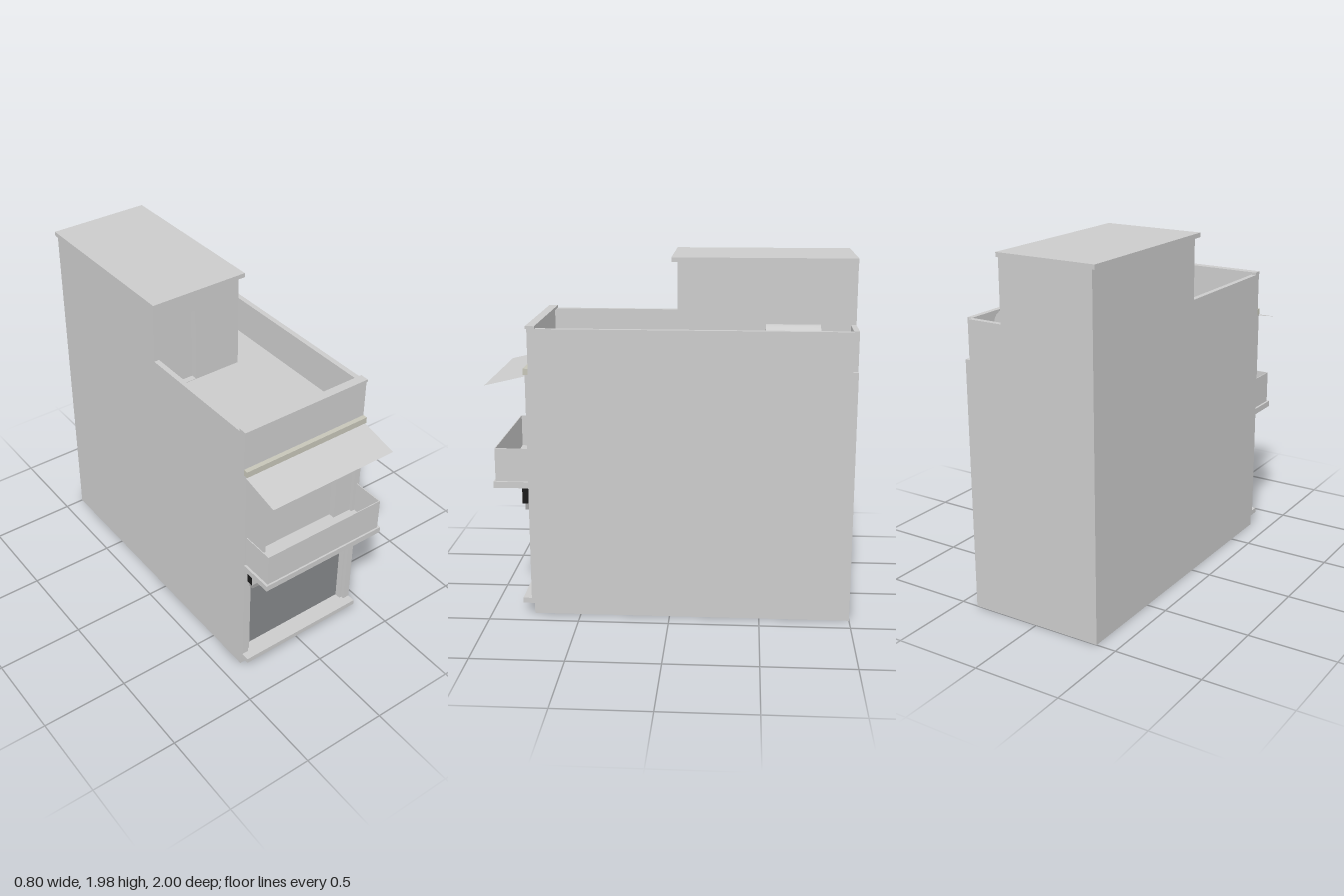
import * as THREE from 'three';

const material = (color) => new THREE.MeshStandardMaterial({ color, side: THREE.DoubleSide });

export function createModel() {
  const house = new THREE.Group();
  house.name = 'townhouse';
  const grey = material(0xcccccc);
  const trim = material(0xc6c5b8);
  const shutterGrey = material(0x85878a);
  const boxGrey = material(0xa2a2a2);
  const black = material(0x1a1a1a);

  const add = (name, geometry, mat = grey) => {
    const mesh = new THREE.Mesh(geometry, mat);
    mesh.name = name;
    house.add(mesh);
    return mesh;
  };
  // Solid block between two limits on each axis
  const block = (name, x0, x1, y0, y1, z0, z1, mat) =>
    add(name, new THREE.BoxGeometry(x1 - x0, y1 - y0, z1 - z0), mat)
      .position.set((x0 + x1) / 2, (y0 + y1) / 2, (z0 + z1) / 2);
  // Thin four-cornered sheet
  const sheet = (name, a, b, c, d, mat) => {
    const g = new THREE.BufferGeometry();
    g.setAttribute('position', new THREE.Float32BufferAttribute([...a, ...b, ...c, ...d], 3));
    g.setIndex([0, 1, 2, 0, 2, 3]);
    g.computeVertexNormals();
    return add(name, g, mat);
  };
  const sideWall = (name, x, y0, y1, z0, z1) =>
    sheet(name, [x, y0, z1], [x, y0, z0], [x, y1, z0], [x, y1, z1]);
  const crossWall = (name, x0, x1, y0, y1, z, mat) =>
    sheet(name, [x0, y0, z], [x1, y0, z], [x1, y1, z], [x0, y1, z], mat);
  const deck = (name, x0, x1, y, z0, z1) =>
    sheet(name, [x0, y, z1], [x1, y, z1], [x1, y, z0], [x0, y, z0]);
  // Front-facing wall with recessed openings: [name, x0, x1, y0, y1, material]
  const wallWithOpenings = (name, x0, x1, y0, y1, z, depth, openings) => {
    const rect = (S, a, b, c, d) => {
      const s = new S();
      s.moveTo(a, c).lineTo(b, c).lineTo(b, d).lineTo(a, d).closePath();
      return s;
    };
    const shape = rect(THREE.Shape, x0, x1, y0, y1);
    for (const [label, a, b, c, d, mat] of openings) {
      shape.holes.push(rect(THREE.Path, a, b, c, d));
      const back = z - depth;
      crossWall(label, a, b, c, d, back, mat);
      sideWall(label + 'LeftJamb', b, c, d, back, z);
      sideWall(label + 'RightJamb', a, c, d, back, z);
      deck(label + 'Sill', a, b, c, back, z);
      deck(label + 'Head', a, b, d, back, z);
    }
    add(name, new THREE.ShapeGeometry(shape)).position.z = z;
  };

  const L = 0.4, R = -0.385, FRONT = 0.76, BACK = -1, FLOOR = 1.405, TOP = 1.62;

  // Hollow main body, open underneath
  sideWall('leftWall', L, 0, FLOOR, BACK, FRONT);
  sideWall('rightWall', R, 0, FLOOR, BACK, FRONT);
  crossWall('backWall', R, L, 0, FLOOR, BACK);
  deck('terraceFloor', R, L, FLOOR, BACK, FRONT);
  wallWithOpenings('facade', R, L, 0, FLOOR, FRONT, 0.035, [
    ['shopShutter', -0.325, 0.345, 0.09, 0.6, shutterGrey],
    ['balconyDoor', -0.23, 0.245, 0.77, 1.275, grey],
  ]);

  // Facade trim
  block('leftPilaster', 0.36, L, 0.09, 1.37, FRONT, 0.777);
  block('rightPilaster', R, -0.345, 0.09, 1.37, FRONT, 0.777);
  block('groundLedge', R, L, 0.06, 0.09, FRONT, 0.825);
  block('cornice', R, L, 1.37, 1.405, FRONT, 0.787, trim);
  block('doorLintel', -0.245, 0.26, 1.275, 1.3, FRONT, 0.78, trim);
  block('shutterBox', -0.345, 0.36, 0.6, 0.64, FRONT, 0.803, boxGrey);
  block('signBox', -0.36, 0.38, 0.642, 0.735, FRONT, 0.815, black);
  block('signFace', -0.36, 0.38, 0.642, 0.735, 0.815, 0.817);

  // Sloping awning
  sheet('awning', [R, 1.31, 1], [L, 1.31, 1], [L, 1.363, 0.777], [R, 1.363, 0.777]);

  // Balcony
  block('balconySlab', R, L, 0.735, 0.77, FRONT, 0.97);
  block('balconyFront', -0.372, 0.387, 0.77, 0.957, 0.955, 0.96);
  block('balconyLeftSide', 0.382, 0.387, 0.77, 0.957, FRONT, 0.955);
  block('balconyRightSide', -0.372, -0.367, 0.77, 0.957, FRONT, 0.955);

  // Roof terrace parapets
  block('leftParapet', 0.37, L, FLOOR, TOP, -0.97, FRONT);
  block('rightParapet', R, -0.355, FLOOR, TOP, -0.03, FRONT);
  block('frontParapet', -0.355, 0.37, FLOOR, TOP, 0.73, FRONT);
  block('backParapet', 0.165, 0.37, FLOOR, TOP, BACK, -0.97);
  block('frontCoping', R, L, TOP, 1.635, 0.718, 0.768);

  // Stair hut
  sideWall('hutLeftWall', 0.165, FLOOR, 1.955, BACK, -0.03);
  sideWall('hutRightWall', R, FLOOR, 1.955, BACK, -0.03);
  crossWall('hutBackWall', R, 0.165, FLOOR, 1.955, BACK);
  wallWithOpenings('hutFrontWall', R, 0.165, FLOOR, 1.955, -0.03, 0.035, [
    ['hutDoor', -0.3, -0.12, FLOOR + 0.003, 1.84, grey],
  ]);
  block('hutRoof', -0.4, 0.18, 1.955, 1.98, BACK, 0.003);

  // Water tank lying on two cradles
  const tank = add('waterTank', new THREE.CylinderGeometry(0.086, 0.086, 0.29, 20));
  tank.rotation.x = Math.PI / 2;
  tank.position.set(0.281, 1.554, -0.655);
  for (const z of [-0.74, -0.57]) block('tankCradle', 0.23, 0.33, FLOOR, 1.49, z - 0.012, z + 0.012);

  return house;
}
